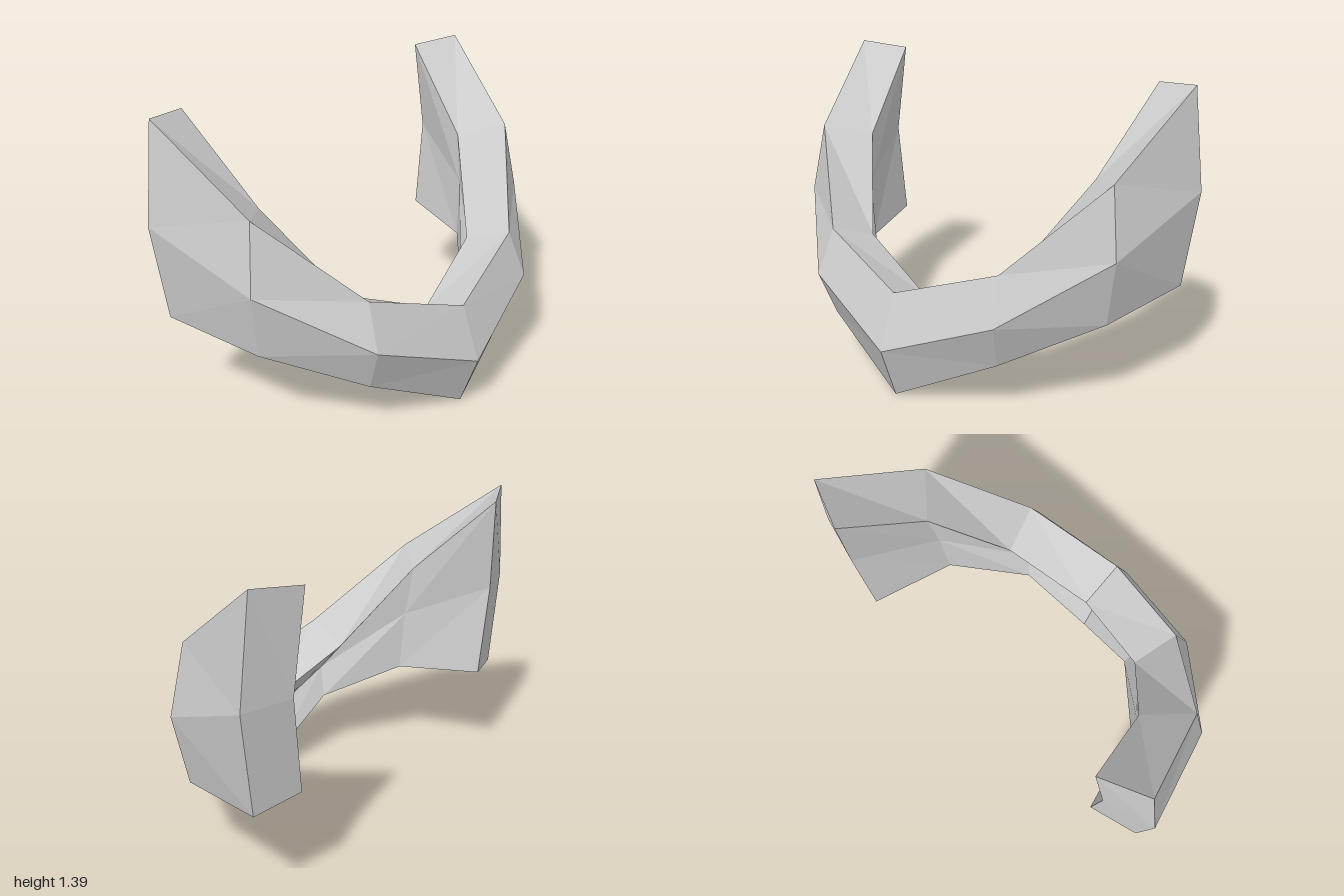
import * as THREE from 'three';

// Half of the band, from the middle to the +x tip. Each chevron cross-section runs
// outer top, outer ridge, outer bottom, inner bottom, inner groove, inner top.
const halfSections = [
  [[0, 0.5, 0.44], [0, 0.25, 0.535], [0, 0, 0.44], [0, 0.09, 0.22], [0, 0.25, 0.305], [0, 0.41, 0.22]],
  [[0.47, 0.66, 0.32], [0.5, 0.45, 0.4], [0.47, 0.24, 0.32], [0.33, 0.33, 0.15], [0.36, 0.47, 0.19], [0.41, 0.585, 0.11]],
  [[0.815, 1.04, 0], [0.865, 0.72, 0.04], [0.815, 0.41, 0], [0.61, 0.465, -0.12], [0.63, 0.75, -0.13], [0.64, 0.99, -0.16]],
  [[0.94, 1.39, -0.45], [1, 0.93, -0.45], [0.94, 0.475, -0.45], [0.715, 0.5, -0.51], [0.77, 0.93, -0.515], [0.725, 1.365, -0.535]],
];

function bandGeometry() {
  const mirrored = halfSections.slice(1).reverse()
    .map(ring => ring.map(([x, y, z]) => [-x, y, z]));
  const rings = [...mirrored, ...halfSections];
  const positions = [];
  const quad = (a, b, c, d) => positions.push(...a, ...b, ...c, ...a, ...c, ...d);

  // Side faces, with the diagonals mirrored about the middle
  for (let i = 0; i < rings.length - 1; i++) {
    for (let j = 0; j < 6; j++) {
      const k = (j + 1) % 6;
      const a = rings[i][j], b = rings[i][k], c = rings[i + 1][k], d = rings[i + 1][j];
      if (i < 3) quad(b, c, d, a);
      else quad(a, b, c, d);
    }
  }

  // Chevron end caps, each split along its ridge
  const first = rings[0], last = rings[rings.length - 1];
  for (const [a, b, c, d] of [[0, 1, 4, 5], [1, 2, 3, 4]]) {
    quad(last[a], last[b], last[c], last[d]);
    quad(first[d], first[c], first[b], first[a]);
  }

  const geometry = new THREE.BufferGeometry();
  geometry.setAttribute('position', new THREE.Float32BufferAttribute(positions, 3));
  geometry.computeVertexNormals(); // unshared corners give flat facets
  return geometry;
}

export function createModel() {
  const grey = new THREE.MeshStandardMaterial({ color: 0xcccccc });
  grey.name = 'light grey';
  const band = new THREE.Mesh(bandGeometry(), grey);
  band.name = 'curvedBand';
  const group = new THREE.Group();
  group.name = 'facetedCollar';
  group.add(band);
  return group;
}
